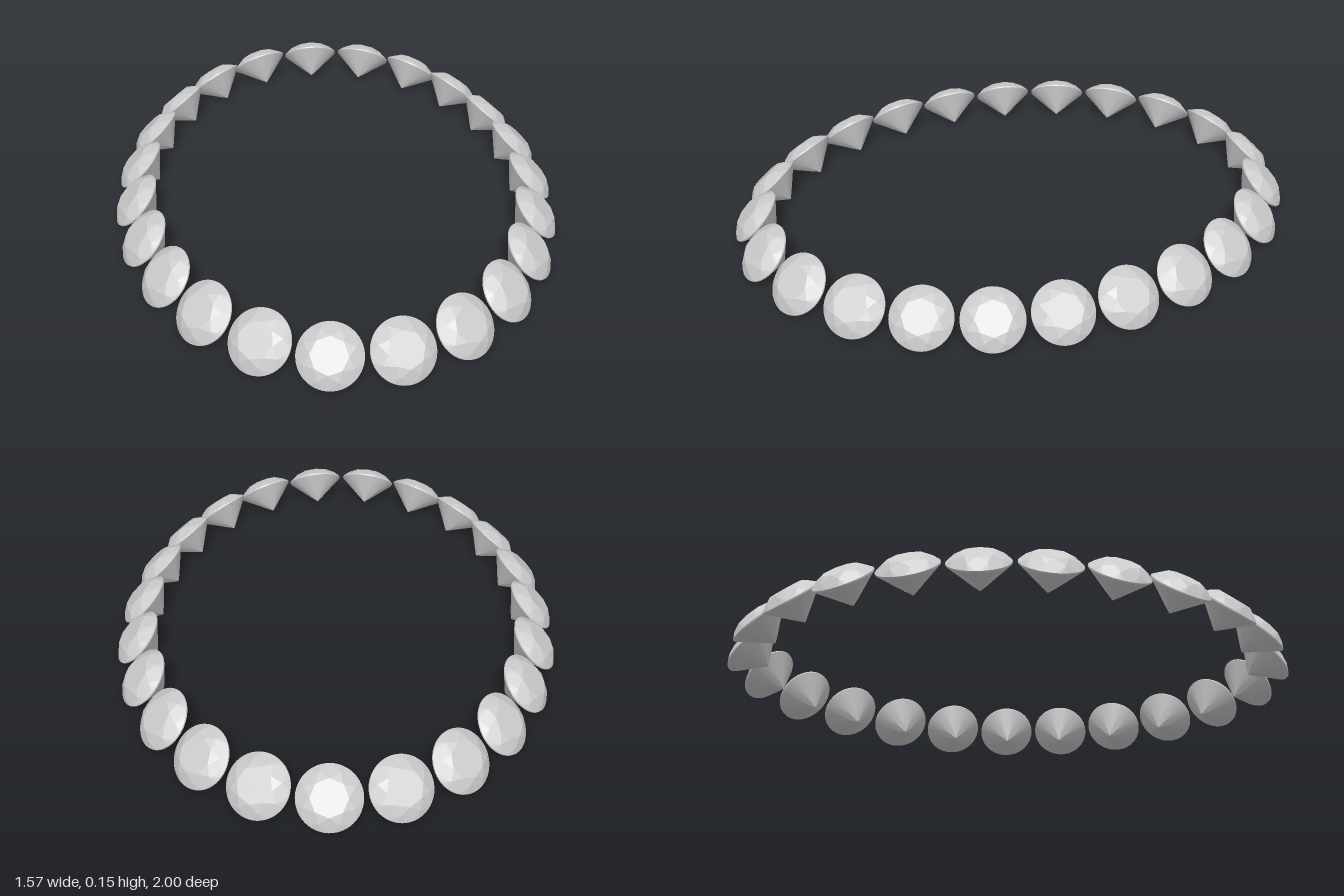
import * as THREE from 'three';

const R = 0.105;        // girdle radius
const CROWN = 0.032;    // crown height
const PAVILION = 0.09;  // pavilion depth
const GIRDLE = 0.0025;  // half thickness of the girdle
const STONES = 23;
const HALF_X = 0.712, HALF_Z = 0.929;

// Round brilliant cut: table, star, kite and girdle facets, axis along +y
function brilliantGeometry() {
  const pos = [];
  const step = Math.PI / 8, sub = 3;
  const pt = (k, r, y) => new THREE.Vector3(r * Math.sin(k * step), y, r * Math.cos(k * step));
  // The stone is convex around its origin, so each facet is turned to face away from it
  const tri = (a, b, c) => {
    const n = b.clone().sub(a).cross(c.clone().sub(a));
    const order = n.dot(a) > 0 ? [a, b, c] : [a, c, b];
    order.forEach(v => pos.push(v.x, v.y, v.z));
  };
  const cos = Math.cos(step);
  const tableR = 0.57 * R, starR = 0.81 * R, lowR = 0.22 * R;
  const starY = GIRDLE + CROWN * (R - starR * cos) / (R - tableR);
  const lowY = -GIRDLE - PAVILION * (1 - lowR * cos / R);
  const tableY = GIRDLE + CROWN;
  const tableMid = new THREE.Vector3(0, tableY, 0);
  const culet = new THREE.Vector3(0, -GIRDLE - PAVILION, 0);

  for (let k = 0; k < 16; k += 2) {
    const t0 = pt(k, tableR, tableY), t1 = pt(k + 2, tableR, tableY);
    const sPrev = pt(k - 1, starR, starY), s = pt(k + 1, starR, starY);
    const lPrev = pt(k - 1, lowR, lowY), l = pt(k + 1, lowR, lowY);
    const top = pt(k, R, GIRDLE), bottom = pt(k, R, -GIRDLE);
    tri(tableMid, t0, t1);                       // table
    tri(t0, t1, s);                              // star facet
    tri(t0, sPrev, top); tri(t0, top, s);        // crown kite
    tri(culet, lPrev, bottom); tri(culet, bottom, l); // pavilion kite
    // Upper and lower halves, with the girdle band between them
    for (let j = 0; j < 2 * sub; j++) {
      const a = k + j / sub, b = k + (j + 1) / sub;
      const ua = pt(a, R, GIRDLE), ub = pt(b, R, GIRDLE);
      const da = pt(a, R, -GIRDLE), db = pt(b, R, -GIRDLE);
      tri(s, ua, ub);
      tri(l, da, db);
      tri(ua, da, db); tri(ua, db, ub);
    }
  }
  const g = new THREE.BufferGeometry();
  g.setAttribute('position', new THREE.Float32BufferAttribute(pos, 3));
  g.computeVertexNormals();
  return g;
}

export function createModel() {
  const model = new THREE.Group();
  model.name = 'gemstoneRing';
  const material = new THREE.MeshStandardMaterial({ color: 0xcccccc, flatShading: true });
  const geometry = brilliantGeometry();

  // Stones spaced evenly along an oval, starting at the back
  const oval = new THREE.EllipseCurve(0, 0, HALF_X, HALF_Z, -Math.PI / 2, Math.PI * 1.5);
  oval.arcLengthDivisions = 1000;
  const y = (R + GIRDLE) * Math.SQRT1_2;
  for (let i = 0; i < STONES; i++) {
    const p = oval.getPointAt(i / STONES);
    const stone = new THREE.Mesh(geometry, material);
    stone.name = `stone${i + 1}`;
    stone.position.set(p.x, y, p.y + 0.004);
    // Crown leans outward at 45 degrees, square to the oval
    stone.rotation.order = 'YXZ';
    stone.rotation.y = Math.atan2(p.x / HALF_X ** 2, p.y / HALF_Z ** 2);
    stone.rotation.x = Math.PI / 4;
    model.add(stone);
  }
  return model;
}
